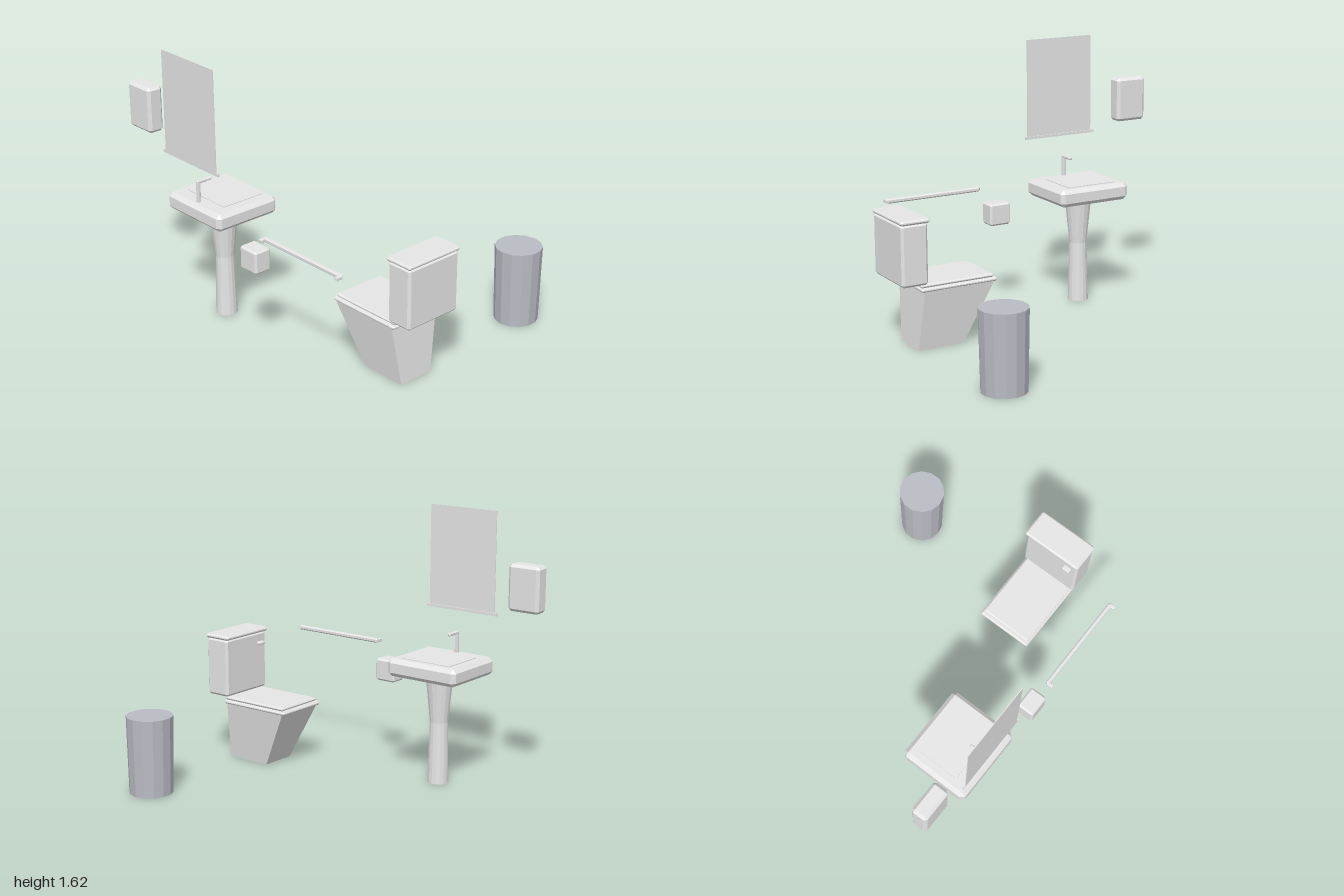
import * as THREE from 'three';
import { ConvexGeometry } from 'three/addons/geometries/ConvexGeometry.js';

export function createModel() {
  const model = new THREE.Group();
  model.name = 'bathroomSet';
  const white = new THREE.MeshStandardMaterial({ name: 'white ceramic', color: 0xe6e6e6, flatShading: true });
  const grey = new THREE.MeshStandardMaterial({ name: 'bluish grey bin', color: 0xbabcc4, flatShading: true });

  function group(name) {
    const g = new THREE.Group();
    g.name = name;
    model.add(g);
    return g;
  }
  function add(parent, name, geometry, material = white) {
    const m = new THREE.Mesh(geometry, material);
    m.name = name;
    parent.add(m);
    return m;
  }

  // Box between min and max corners, all edges chamfered by c
  function box(parent, name, min, max, c = 0) {
    const half = min.map((v, i) => (max[i] - v) / 2);
    const mid = min.map((v, i) => (max[i] + v) / 2);
    let geo;
    if (c === 0) {
      geo = new THREE.BoxGeometry(half[0] * 2, half[1] * 2, half[2] * 2);
    } else {
      const pts = [];
      for (const sx of [-1, 1]) for (const sy of [-1, 1]) for (const sz of [-1, 1]) {
        for (let axis = 0; axis < 3; axis++) {
          const p = half.map((h, i) => (i === axis ? h : h - c));
          pts.push(new THREE.Vector3(p[0] * sx, p[1] * sy, p[2] * sz));
        }
      }
      geo = new ConvexGeometry(pts);
    }
    geo.translate(...mid);
    return add(parent, name, geo);
  }

  // Toilet
  const toilet = group('toilet');
  const bowl = new THREE.BoxGeometry(1, 0.355, 1);
  const p = bowl.attributes.position;
  for (let i = 0; i < p.count; i++) {
    const top = p.getY(i) > 0;
    const halfWidth = top ? 0.166 : 0.111;
    const front = top ? 0.41 : 0.583;
    const back = top ? 0.85 : 0.872;
    p.setXYZ(i, -0.283 + Math.sign(p.getX(i)) * halfWidth, top ? 0.355 : 0, p.getZ(i) > 0 ? back : front);
  }
  bowl.computeVertexNormals();
  add(toilet, 'bowl', bowl);
  box(toilet, 'seat', [-0.456, 0.353, 0.39], [-0.11, 0.377, 0.87], 0.009);
  box(toilet, 'seatCover', [-0.446, 0.378, 0.41], [-0.119, 0.399, 0.87], 0.008);
  box(toilet, 'tank', [-0.467, 0.4, 0.832], [-0.099, 0.76, 0.995], 0.014);
  box(toilet, 'tankLid', [-0.473, 0.757, 0.82], [-0.092, 0.784, 1], 0.01);
  box(toilet, 'flushHandle', [-0.43, 0.683, 0.803], [-0.378, 0.7, 0.838], 0.004);

  // Washbasin on a waisted pedestal
  const basin = group('washbasin');
  box(basin, 'basinBody', [-0.78, 0.651, -0.665], [-0.352, 0.757, -0.19], 0.024);
  box(basin, 'bowlPanel', [-0.68, 0.754, -0.598], [-0.405, 0.761, -0.268]);
  const profile = [[0, 0], [0.064, 0], [0.054, 0.37], [0.083, 0.652], [0, 0.652]]
    .map(([r, y]) => new THREE.Vector2(r, y));
  add(basin, 'pedestal', new THREE.LatheGeometry(profile, 16)).position.set(-0.559, 0, -0.427);

  // Tap
  box(basin, 'tapPost', [-0.744, 0.75, -0.437], [-0.722, 0.88, -0.417], 0.004);
  box(basin, 'tapSpout', [-0.744, 0.87, -0.437], [-0.643, 0.887, -0.417], 0.004);

  // Wall mirror with its ledge
  const mirror = group('mirror');
  box(mirror, 'mirrorPanel', [-0.782, 1.005, -0.653], [-0.778, 1.616, -0.196]);
  box(mirror, 'mirrorLedge', [-0.782, 1.0, -0.673], [-0.771, 1.017, -0.18]);

  // Wall dispensers
  box(model, 'towelDispenser', [-0.78, 1.066, -1], [-0.68, 1.34, -0.798], 0.017);
  box(model, 'paperHolder', [-0.78, 0.512, -0.012], [-0.672, 0.648, 0.125], 0.011);

  // Grab rail
  const rail = group('grabRail');
  box(rail, 'railBar', [-0.757, 0.725, 0.165], [-0.732, 0.752, 0.78], 0.007);
  for (const z of [0.17, 0.775]) {
    box(rail, 'railBracket', [-0.782, 0.729, z - 0.011], [-0.742, 0.748, z + 0.011], 0.003);
  }

  // Waste bin
  const bin = new THREE.CylinderGeometry(0.138, 0.129, 0.462, 14, 1, false, Math.PI / 2);
  add(model, 'wasteBin', bin, grey).position.set(0.639, 0.231, 0.77);

  return model;
}
